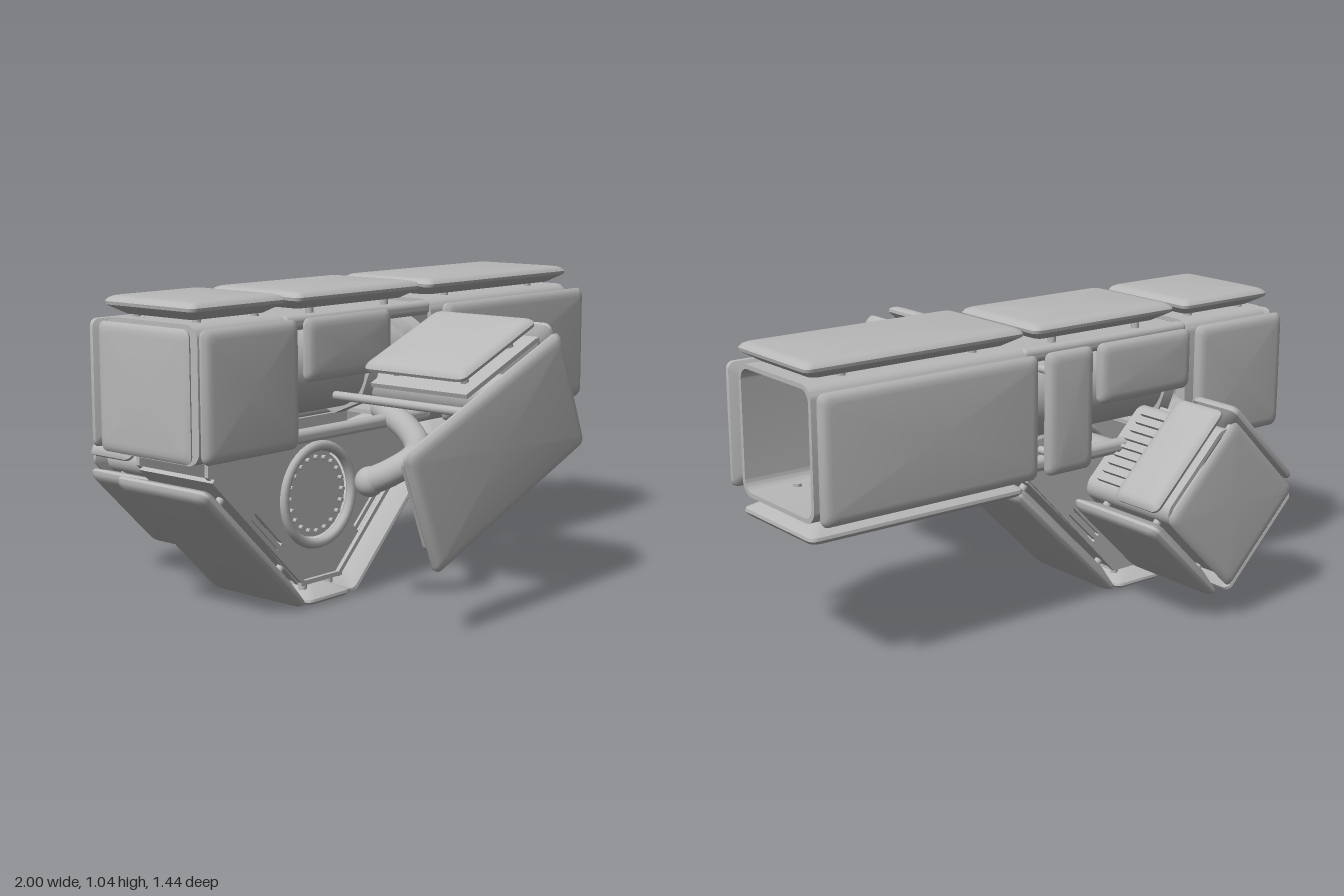
import * as THREE from 'three';
import { toCreasedNormals } from 'three/addons/utils/BufferGeometryUtils.js';
import { RoundedBoxGeometry } from 'three/addons/geometries/RoundedBoxGeometry.js';

const grey = new THREE.MeshStandardMaterial({ color: 0xb8b8b8, side: THREE.DoubleSide });
grey.name = 'grey';

function add(parent, name, geo, x = 0, y = 0, z = 0) {
  const m = new THREE.Mesh(geo, grey);
  m.name = name;
  m.position.set(x, y, z);
  parent.add(m);
  return m;
}

function rounded(w, h, r, Type = THREE.Shape) {
  const s = new Type(), a = w / 2, b = h / 2, q = Math.PI / 2;
  s.absarc(a - r, b - r, r, 0, q);
  s.absarc(-a + r, b - r, r, q, 2 * q);
  s.absarc(-a + r, -b + r, r, 2 * q, 3 * q);
  s.absarc(a - r, -b + r, r, 3 * q, 4 * q);
  s.closePath();
  return s;
}

// Cushion-edged armour plate: rounded rectangles lofted along +z
function plateGeometry(w, h, t) {
  const levels = [[0, 0.05], [0.5, 0.002], [0.68, 0], [0.86, 0.008], [0.96, 0.02], [1, 0.035]];
  const rings = levels.map(([f, inset]) => {
    const pts = [];
    for (let c = 0; c < 4; c++) for (let k = 0; k <= 4; k++) {
      const a = (c + k / 4) * Math.PI / 2, r = 0.025;
      const sx = c === 0 || c === 3 ? 1 : -1, sy = c < 2 ? 1 : -1;
      pts.push([sx * (w / 2 - inset - r) + r * Math.cos(a), sy * (h / 2 - inset - r) + r * Math.sin(a), f * t]);
    }
    return pts;
  });
  const pos = [], n = rings[0].length, last = rings.length - 1;
  const tri = (...p) => p.forEach(v => pos.push(...v));
  for (let j = 0; j < n; j++) {
    const k = (j + 1) % n;
    for (let i = 0; i < last; i++) {
      const A = rings[i], B = rings[i + 1];
      tri(A[j], A[k], B[k]);
      tri(A[j], B[k], B[j]);
    }
    tri([0, 0, 0], rings[0][k], rings[0][j]);
    tri([0, 0, t], rings[last][j], rings[last][k]);
  }
  const g = new THREE.BufferGeometry();
  g.setAttribute('position', new THREE.Float32BufferAttribute(pos, 3));
  return toCreasedNormals(g, 0.6);
}

const turns = {
  pz: [0, 0], nz: [0, Math.PI], px: [0, Math.PI / 2], nx: [0, -Math.PI / 2],
  py: [-Math.PI / 2, 0], ny: [Math.PI / 2, 0],
};

// Plate with mounting studs; position is the middle of its inner face
function plate(parent, name, facing, w, h, x, y, z, t = 0.06) {
  const g = new THREE.Group();
  g.name = name;
  g.position.set(x, y, z);
  g.rotation.set(turns[facing][0], turns[facing][1], 0);
  add(g, 'plate', plateGeometry(w, h, t));
  for (const sx of [-1, 1]) for (const sy of [-1, 1]) {
    const stud = add(g, 'stud', new THREE.CylinderGeometry(0.014, 0.014, 0.04, 12),
      sx * w * 0.3, sy * (h / 2 - 0.07), -0.015);
    stud.rotation.x = Math.PI / 2;
  }
  parent.add(g);
}

// Hollow rounded tube along z, starting at z = 0
function tubeGeometry(w, h, wall, length) {
  const s = rounded(w, h, 0.05);
  s.holes.push(rounded(w - 2 * wall, h - 2 * wall, 0.04, THREE.Path));
  return toCreasedNormals(new THREE.ExtrudeGeometry(s, { depth: length, bevelEnabled: false, curveSegments: 5 }), 0.6);
}

function cylinder(parent, name, r, length, axis, x, y, z, sides = 40) {
  const m = add(parent, name, new THREE.CylinderGeometry(r, r, length, sides), x, y, z);
  if (axis === 'x') m.rotation.z = Math.PI / 2;
  if (axis === 'z') m.rotation.x = Math.PI / 2;
  return m;
}

function group(parent, name, x = 0, y = 0, z = 0, turn = 0) {
  const g = new THREE.Group();
  g.name = name;
  g.position.set(x, y, z);
  g.rotation.z = turn;
  parent.add(g);
  return g;
}

function buildMainBeam(root) {
  const g = group(root, 'mainBeam'), cy = 0.76, cz = -0.11;
  // Hollow end sections joined by four corner rails
  for (const [x, len] of [[-0.96, 0.4], [0.16, 0.83]])
    add(g, 'beamTube', tubeGeometry(0.43, 0.44, 0.015, len), x, cy, cz).rotation.y = Math.PI / 2;
  for (const sy of [-1, 1]) for (const sz of [-1, 1])
    add(g, 'cornerRail', new RoundedBoxGeometry(0.74, 0.05, 0.05, 3, 0.02), -0.2, cy + sy * 0.19, cz + sz * 0.185);
  add(g, 'topSkin', new THREE.BoxGeometry(0.7, 0.015, 0.36), -0.2, 0.96, cz);
  // Drive inside the beam
  cylinder(g, 'motor', 0.15, 0.8, 'x', -0.15, cy, cz);
  cylinder(g, 'motorCap', 0.135, 0.02, 'x', 0.26, cy, cz);
  for (const x of [-0.54, -0.09, 0.13]) cylinder(g, 'motorCollar', 0.175, 0.05, 'x', x, cy, cz, 8);
  add(g, 'bulkhead', new THREE.BoxGeometry(0.02, 0.4, 0.4), -0.93, cy, cz);
  // Armour: [middle x, length]
  for (const [x, w] of [[-0.765, 0.42], [-0.195, 0.63], [0.58, 0.84]]) plate(g, 'topPlate', 'py', w, 0.42, x, 0.99, cz);
  plate(g, 'bottomPlate', 'ny', 0.84, 0.42, 0.58, 0.53, cz);
  plate(g, 'frontPlate', 'pz', 0.84, 0.42, 0.58, cy, 0.125);
  plate(g, 'frontPlate', 'pz', 0.42, 0.42, -0.765, cy, 0.1, 0.055);
  plate(g, 'frontPlate', 'pz', 0.42, 0.21, -0.31, 0.865, 0.1, 0.055);
  for (const [x, w, y, h] of [[-0.765, 0.42, cy, 0.42], [-0.31, 0.42, 0.865, 0.21], [0.025, 0.2, cy, 0.42], [0.58, 0.84, cy, 0.42]])
    plate(g, 'backPlate', 'nz', w, h, x, y, -0.34);
  plate(g, 'endPlate', 'nx', 0.42, 0.42, -0.965, cy, cz, 0.035);
}

function buildCradle(root) {
  const g = group(root, 'cradle');
  const arms = group(g, 'cradleArms', -0.415, 0.43, -0.06, -Math.PI / 4);
  plate(arms, 'leftCradlePlate', 'px', 0.42, 0.63, 0.335, 0.11, 0);
  plate(arms, 'rightCradlePlate', 'ny', 0.63, 0.42, -0.11, -0.335, 0);
  add(arms, 'leftWall', new THREE.BoxGeometry(0.015, 0.58, 0.34), 0.305, 0.1, 0);
  add(arms, 'rightWall', new THREE.BoxGeometry(0.58, 0.015, 0.34), -0.1, -0.305, 0);
  plate(g, 'keelPlate', 'ny', 0.21, 0.42, -0.415, 0.06, -0.06, 0.05);
  add(g, 'keelWall', new THREE.BoxGeometry(0.2, 0.015, 0.34), -0.415, 0.085, -0.06);
  // Triangular side walls with a round opening and slots
  const s = new THREE.Shape();
  [[-0.5, 0.56], [0.5, 0.56], [0.5, 0.5], [0.1, 0.08], [-0.1, 0.08], [-0.5, 0.5]]
    .forEach(([x, y], i) => (i ? s.lineTo(x, y) : s.moveTo(x, y)));
  s.holes.push(new THREE.Path().absarc(0, 0.37, 0.16, 0, Math.PI * 2, true));
  for (const side of [-1, 1]) for (let i = 0; i < 3; i++) {
    const slot = new THREE.Path(), x = 0.2 - i * 0.018, y = 0.21 + i * 0.018;
    [[x, y], [x + 0.12, y + 0.12], [x + 0.113, y + 0.127], [x - 0.007, y + 0.007]]
      .forEach(([a, b], k) => (k ? slot.lineTo(side * a, b) : slot.moveTo(side * a, b)));
    if (i < 2) s.holes.push(slot);
  }
  for (const z of [0.08, -0.24])
    add(g, 'sideWall', new THREE.ExtrudeGeometry(s, { depth: 0.015, bevelEnabled: false }), -0.415, 0, z);
  // Round bearing with a bolt circle
  add(g, 'bearingRing', new THREE.TorusGeometry(0.165, 0.018, 8, 40), -0.415, 0.37, 0.095);
  cylinder(g, 'bearing', 0.145, 0.3, 'z', -0.415, 0.37, -0.07);
  for (let i = 0; i < 20; i++) {
    const a = i * Math.PI / 10;
    cylinder(g, 'bolt', 0.008, 0.02, 'z', -0.415 + 0.125 * Math.cos(a), 0.37 + 0.125 * Math.sin(a), 0.085, 8);
  }
}

function buildRearPod(root) {
  const g = group(root, 'rearPod', -0.415, 0.43, 0, -Math.PI / 4);
  add(g, 'podTube', tubeGeometry(0.39, 0.39, 0.015, 0.41), 0, 0, -0.675);
  plate(g, 'lowerLeftPlate', 'px', 0.42, 0.42, 0.21, 0, -0.48);
  plate(g, 'lowerRightPlate', 'ny', 0.42, 0.42, 0, -0.21, -0.48);
  plate(g, 'upperLeftPlate', 'py', 0.42, 0.21, 0, 0.21, -0.585);
  plate(g, 'upperRightPlate', 'nx', 0.21, 0.42, -0.21, 0, -0.585);
  plate(g, 'podEndPlate', 'nz', 0.42, 0.42, 0, 0, -0.69, 0.035);
  // Cooling ribs on the two upper faces
  for (let i = 0; i < 9; i++) {
    const u = -0.14 + i * 0.035;
    add(g, 'rib', new THREE.BoxGeometry(0.012, 0.02, 0.14), u, 0.2, -0.38);
    add(g, 'rib', new THREE.BoxGeometry(0.02, 0.012, 0.14), -0.2, u, -0.38);
  }
}

function buildFrontPod(root) {
  const g = group(root, 'frontPod', -0.225, 0.57, 0, 0.375);
  plate(g, 'shieldPlate', 'pz', 0.84, 0.42, 0, 0, 0.66);
  plate(g, 'podTopPlate', 'py', 0.42, 0.42, 0.19, 0.21, 0.43);
  plate(g, 'podSidePlate', 'px', 0.42, 0.42, 0.425, 0, 0.43);
  // Inner frame behind the plates
  const backing = rounded(0.76, 0.34, 0.03);
  backing.holes.push(rounded(0.3, 0.08, 0.03, THREE.Path));
  add(g, 'backingPlate', new THREE.ExtrudeGeometry(backing, { depth: 0.012, bevelEnabled: false }), 0, 0, 0.638);
  add(g, 'topWall', new THREE.BoxGeometry(0.4, 0.015, 0.4), 0.19, 0.185, 0.43);
  add(g, 'sideWall', new THREE.BoxGeometry(0.015, 0.38, 0.4), 0.395, 0, 0.43);
  cylinder(g, 'connector', 0.08, 0.62, 'z', 0.27, 0.02, 0.33);
  cylinder(g, 'flange', 0.12, 0.03, 'z', 0.27, 0.02, 0.62);
  cylinder(g, 'strut', 0.015, 0.6, 'z', 0.0, 0.12, 0.34, 12);
  // Bent hose with a rounded end
  const path = new THREE.CatmullRomCurve3([[0.02, 0.6, 0.0], [-0.08, 0.56, 0.2], [-0.24, 0.53, 0.38],
    [-0.33, 0.51, 0.42], [-0.38, 0.47, 0.37], [-0.4, 0.44, 0.31]].map(p => new THREE.Vector3(...p)));
  add(root, 'hose', new THREE.TubeGeometry(path, 40, 0.045, 16));
  add(root, 'hoseEnd', new THREE.SphereGeometry(0.05, 20, 14), -0.4, 0.44, 0.31);
}

export function createModel() {
  const root = new THREE.Group();
  root.name = 'modularMachine';
  buildMainBeam(root);
  buildCradle(root);
  buildRearPod(root);
  buildFrontPod(root);
  return root;
}
